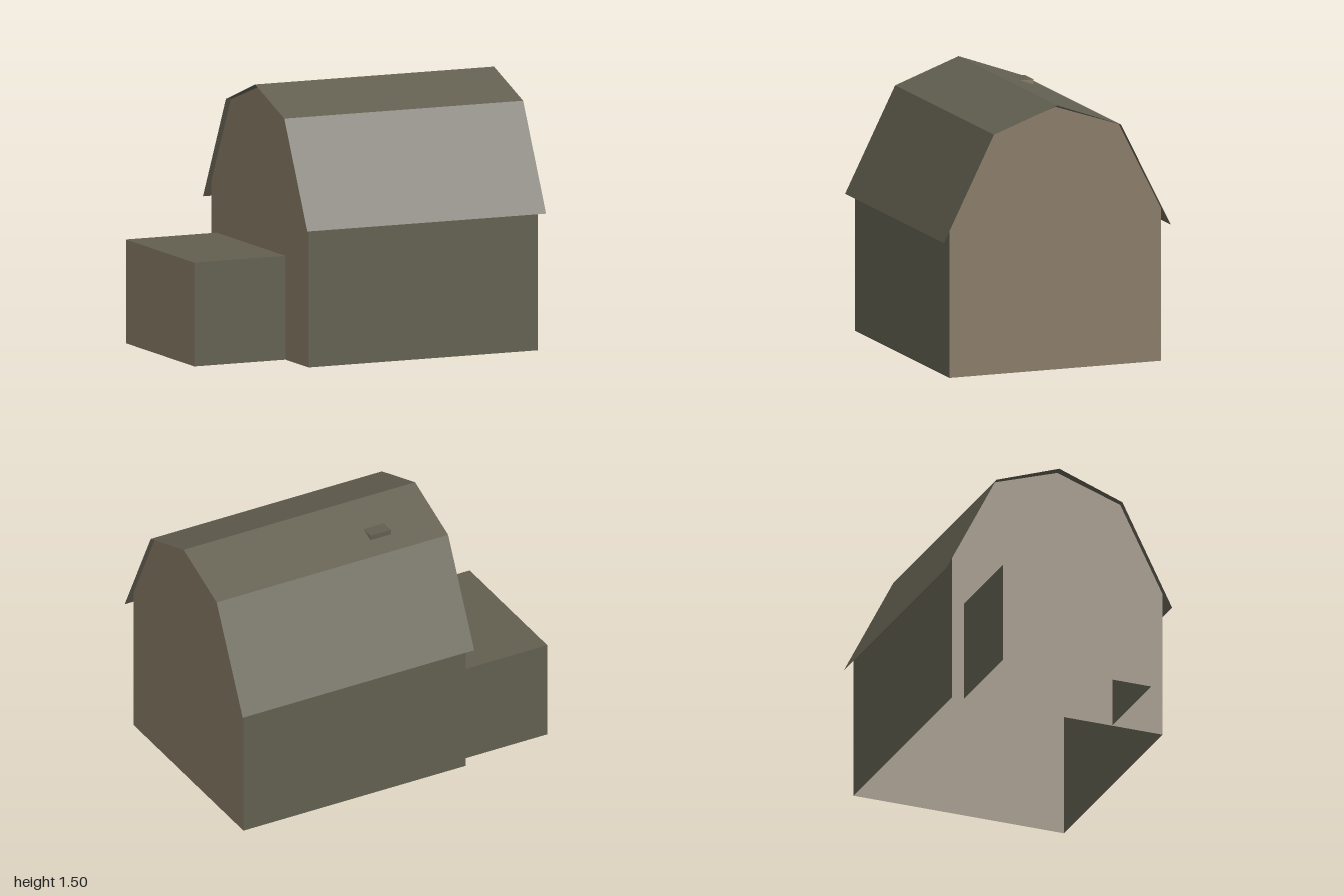
import * as THREE from 'three';

export function createModel() {
  const group = new THREE.Group();
  group.name = 'barn';

  const olive = new THREE.MeshStandardMaterial({ color: 0x625f50, side: THREE.DoubleSide });
  olive.name = 'olive siding';
  const brown = new THREE.MeshStandardMaterial({ color: 0x8a7c68, side: THREE.DoubleSide });
  brown.name = 'brown gable';

  const add = (name, geometry, material) => {
    const mesh = new THREE.Mesh(geometry, material);
    mesh.name = name;
    group.add(mesh);
    return mesh;
  };

  // Folded sheet: a [z, y] path from back to front, swept from x0 to x1
  const sheet = (path, x0, x1) => {
    const pos = [];
    for (let i = 0; i < path.length - 1; i++) {
      const [z0, y0] = path[i];
      const [z1, y1] = path[i + 1];
      const a = [x0, y0, z0], b = [x0, y1, z1], c = [x1, y1, z1], d = [x1, y0, z0];
      pos.push(...a, ...b, ...c, ...a, ...c, ...d);
    }
    const g = new THREE.BufferGeometry();
    g.setAttribute('position', new THREE.Float32BufferAttribute(pos, 3));
    g.computeVertexNormals();
    return g;
  };

  // Flat end wall from a [z, y] outline, facing +x (side 1) or -x (side -1)
  const endWall = (outline, x, side) => {
    const shape = new THREE.Shape(outline.map(([z, y]) => new THREE.Vector2(-side * z, y)));
    return new THREE.ShapeGeometry(shape).rotateY(side * Math.PI / 2).translate(x, 0, 0);
  };

  // Main body: long walls and gambrel ends, open underneath
  const gable = [
    [-0.635, 0], [-0.635, 0.865], [-0.38, 1.365], [0, 1.492],
    [0.38, 1.365], [0.635, 0.865], [0.635, 0],
  ];
  add('backWall', sheet(gable.slice(0, 2), -0.44, 0.97), olive);
  add('frontWall', sheet(gable.slice(-2), -0.44, 0.97), olive);
  add('leftGable', endWall(gable, 0.97, 1), brown);
  add('rightGable', endWall(gable, -0.44, -1), brown);

  // Thin gambrel roof with overhanging eaves
  const roof = [[-0.681, 0.775], [-0.381, 1.368], [0, 1.505], [0.381, 1.368], [0.681, 0.775]];
  add('roof', sheet(roof, -0.47, 1), olive);

  // Flat-topped side annex
  const annex = [[-0.565, 0], [-0.565, 0.585], [0.332, 0.585], [0.332, 0]];
  add('annexShell', sheet(annex, -1, -0.44), olive);
  add('annexEndWall', endWall(annex, -1, -1), brown);

  // Small vent set into the back roof slope
  const vent = add('roofVent', new THREE.BoxGeometry(0.13, 0.06, 0.1),
    [brown, brown, olive, olive, olive, olive]);
  vent.position.set(-0.1, 1.405, -0.225);

  return group;
}
